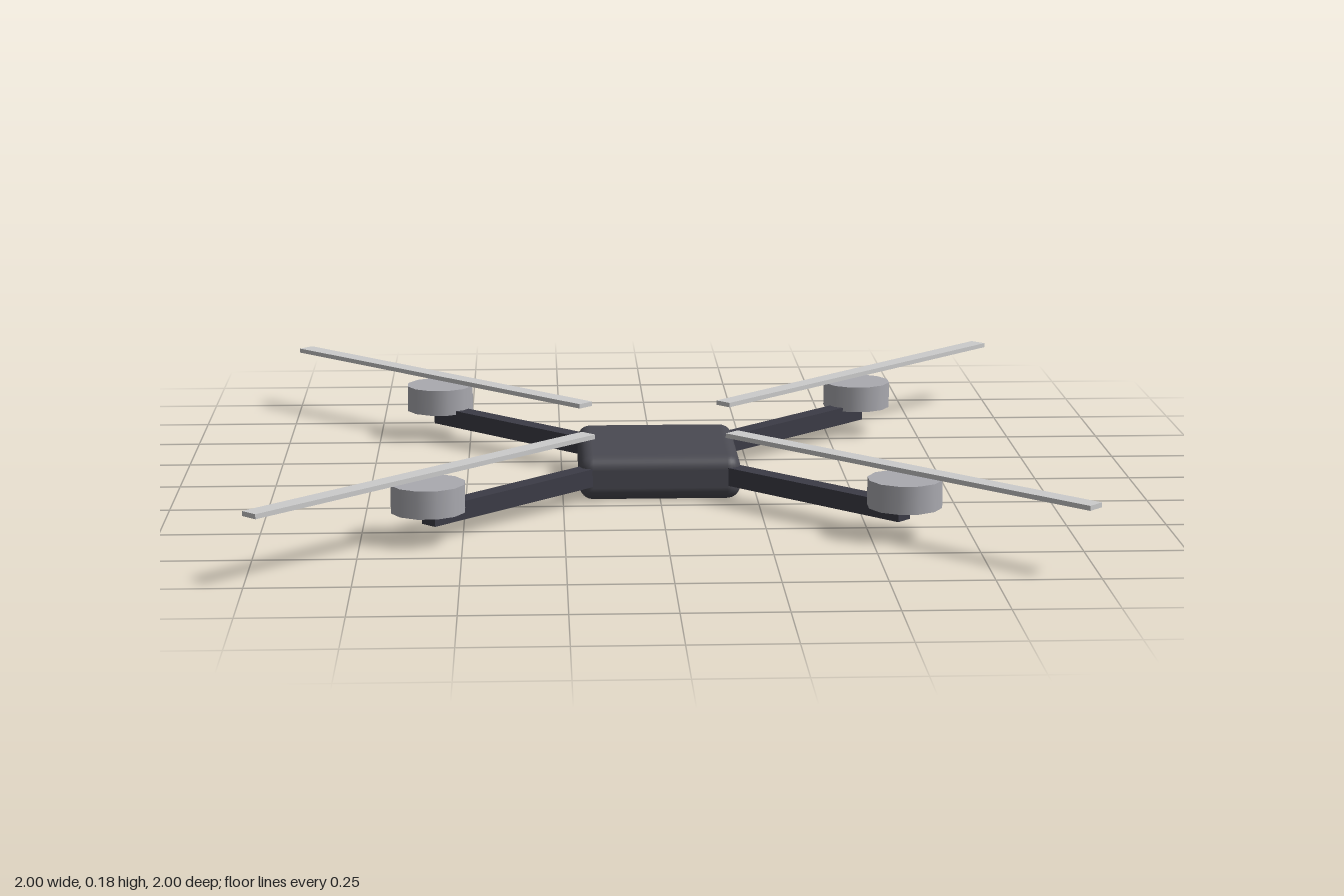
import * as THREE from 'three';
import { RoundedBoxGeometry } from 'three/addons/geometries/RoundedBoxGeometry.js';

const dark = new THREE.MeshStandardMaterial({ color: 0x4a4a52 });
const armDark = new THREE.MeshStandardMaterial({ color: 0x3c3c46 });
const metal = new THREE.MeshStandardMaterial({ color: 0xaaaab0 });
const pale = new THREE.MeshStandardMaterial({ color: 0xcccccf });

function part(parent, name, geometry, material, x, y, z) {
  const mesh = new THREE.Mesh(geometry, material);
  mesh.name = name;
  mesh.position.set(x, y, z);
  parent.add(mesh);
  return mesh;
}

export function createModel() {
  const drone = new THREE.Group();
  drone.name = 'quadcopter';

  // Central hull with softened edges
  part(drone, 'body', new RoundedBoxGeometry(0.415, 0.116, 0.415, 3, 0.035), dark, 0, 0.058, 0);

  // Distance from the centre to each motor axis, along the diagonal
  const reach = 0.825;
  const armGeometry = new THREE.BoxGeometry(reach, 0.047, 0.047);
  const motorGeometry = new THREE.CylinderGeometry(0.093, 0.093, 0.07, 12);
  const bladeGeometry = new THREE.BoxGeometry(1.13, 0.012, 0.047);

  // Four identical diagonal arms, each with its motor and propeller
  const corners = ['rightRear', 'leftRear', 'leftFront', 'rightFront'];
  const turns = [3, 1, -1, -3];
  corners.forEach((corner, i) => {
    const assembly = new THREE.Group();
    assembly.name = corner + 'Assembly';
    part(assembly, 'arm', armGeometry, armDark, reach / 2, 0.0625, 0);
    part(assembly, 'motor', motorGeometry, metal, reach, 0.111, 0);
    part(assembly, 'propeller', bladeGeometry, pale, reach, 0.17, 0);
    assembly.rotation.y = turns[i] * Math.PI / 4;
    drone.add(assembly);
  });

  return drone;
}
